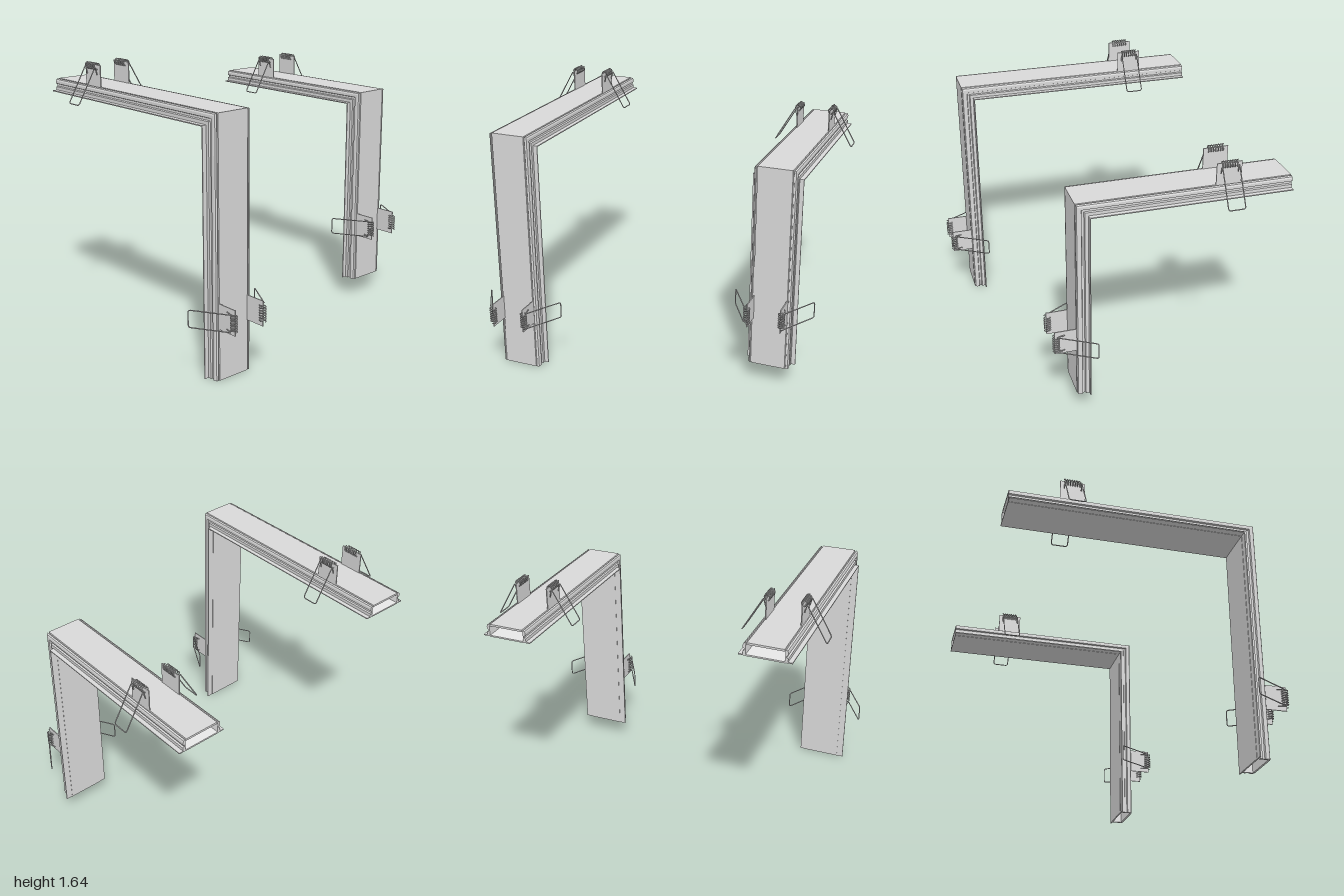
import * as THREE from 'three';

const aluminium = new THREE.MeshStandardMaterial({ color: 0xd9d9d9 });
aluminium.name = 'light aluminium grey';
const lining = new THREE.MeshStandardMaterial({ color: 0xe8e8e8 });
lining.name = 'pale lining';

// Cross-sections as [across, outward] points, mirrored about the middle
const mirror = (half) => [...half, ...half.slice().reverse().map(([w, d]) => [-w, d])];
const outerSection = mirror([
  [0.15, 0], [0.15, 0.006], [0.125, 0.007], [0.125, 0.026], [0.116, 0.03],
  [0.116, 0.042], [0.125, 0.046], [0.125, 0.062], [0.121, 0.071], [0.112, 0.076],
  [0.11, 0.07], [0.105, 0.07], [0.103, 0.077],
]);
const innerSection = outerSection.map(([w, d]) => [
  Math.sign(w) * Math.min(Math.abs(w) - 0.008, 0.108),
  Math.min(Math.max(d, 0.007), 0.065),
]);
const diffuserSection = mirror([[0.11, -0.002], [0.11, 0.001]]);

// Places a section point on the arm end, the mitred corner or the leg foot
function station(L, s, [w, d]) {
  return [s === 0 ? L.armEnd : L.x + d, s === 2 ? L.foot : L.y + d, w];
}

function quadsToGeometry(quads) {
  const pos = [];
  for (const [a, b, c, d] of quads) pos.push(...a, ...b, ...c, ...a, ...c, ...d);
  const g = new THREE.BufferGeometry();
  g.setAttribute('position', new THREE.Float32BufferAttribute(pos, 3));
  g.computeVertexNormals();
  return g;
}

// Skin swept along the bent path
function skin(L, section, inward = false) {
  const quads = [];
  for (let s = 0; s < 2; s++) {
    section.forEach((p, i) => {
      const q = section[(i + 1) % section.length];
      const quad = [station(L, s, p), station(L, s + 1, p), station(L, s + 1, q), station(L, s, q)];
      quads.push(inward ? quad.reverse() : quad);
    });
  }
  return quads;
}

// End faces between an outer and an inner section
function rims(L, outer, inner) {
  const quads = [];
  outer.forEach((p, i) => {
    const j = (i + 1) % outer.length;
    for (const s of [0, 2]) {
      const quad = [p, outer[j], inner[j], inner[i]].map((v) => station(L, s, v));
      quads.push(s === 0 ? quad : quad.reverse());
    }
  });
  return quads;
}

function addMesh(parent, name, geometry, material) {
  const m = new THREE.Mesh(geometry, material);
  m.name = name;
  parent.add(m);
  return m;
}

// Spring clip: x runs along the profile, y points outward, z sideways
const CLIP_W = 0.105, COIL_Y = 0.196, COIL_R = 0.018, WIRE = 0.0033;

function coilGeometry() {
  const turns = 7, pts = [];
  for (let i = 0; i <= turns * 12; i++) {
    const a = (i / 12) * Math.PI * 2;
    pts.push(new THREE.Vector3(-0.05 + (0.1 * i) / (turns * 12),
      COIL_Y + COIL_R * Math.cos(a), CLIP_W + COIL_R * Math.sin(a)));
  }
  return new THREE.TubeGeometry(new THREE.CatmullRomCurve3(pts), turns * 16, WIRE, 10);
}

function loopGeometry() {
  const top = new THREE.Vector3(0, COIL_Y - 0.004, CLIP_W + COIL_R);
  const end = new THREE.Vector3(0, -0.018, 0.244);
  const at = (x, t) => top.clone().lerp(end, t).setX(x);
  const path = new THREE.CurvePath();
  path.add(new THREE.LineCurve3(at(-0.05, 0), at(-0.05, 0.94)));
  path.add(new THREE.QuadraticBezierCurve3(at(-0.05, 0.94), at(-0.05, 1), at(-0.036, 1)));
  path.add(new THREE.LineCurve3(at(-0.036, 1), at(0.036, 1)));
  path.add(new THREE.QuadraticBezierCurve3(at(0.036, 1), at(0.05, 1), at(0.05, 0.94)));
  path.add(new THREE.LineCurve3(at(0.05, 0.94), at(0.05, 0)));
  return new THREE.TubeGeometry(path, 90, WIRE, 10);
}

// Short spring foot resting against the tab
function footGeometry(x) {
  return new THREE.TubeGeometry(new THREE.LineCurve3(
    new THREE.Vector3(x, COIL_Y - 0.008, CLIP_W + COIL_R - 0.002),
    new THREE.Vector3(x, COIL_Y - 0.05, CLIP_W + 0.005)), 1, WIRE, 10);
}

function makeClip() {
  const clip = new THREE.Group();
  clip.name = 'springClip';
  const tab = addMesh(clip, 'clipTab', new THREE.BoxGeometry(0.148, 0.147, 0.006), aluminium);
  tab.position.set(0, 0.1305, CLIP_W - 0.004);
  addMesh(clip, 'springCoil', coilGeometry(), aluminium);
  addMesh(clip, 'springLoop', loopGeometry(), aluminium);
  for (const x of [-0.05, 0.05]) addMesh(clip, 'springFoot', footGeometry(x), aluminium);
  return clip;
}

function makeProfile(name, L) {
  const g = new THREE.Group();
  g.name = name;
  g.position.z = L.z;
  addMesh(g, 'channel',
    quadsToGeometry([...skin(L, outerSection), ...rims(L, outerSection, innerSection)]), aluminium);
  addMesh(g, 'channelLining', quadsToGeometry(skin(L, innerSection, true)), lining);
  const middle = diffuserSection.map(() => [0, 0]);
  addMesh(g, 'diffuser',
    quadsToGeometry([...skin(L, diffuserSection), ...rims(L, diffuserSection, middle)]), aluminium);

  // A pair of clips on the arm and a pair on the leg
  const mounts = [
    ['armClips', L.armEnd + 0.376, L.y, 0],
    ['legClips', L.x, L.foot + 0.377, -Math.PI / 2],
  ];
  for (const [label, x, y, turn] of mounts) {
    const pair = new THREE.Group();
    pair.name = label;
    pair.position.set(x, y, 0);
    pair.rotation.z = turn;
    for (const side of [0, Math.PI]) {
      const clip = makeClip();
      clip.rotation.y = side;
      pair.add(clip);
    }
    g.add(pair);
  }
  return g;
}

export function createModel() {
  const model = new THREE.Group();
  model.name = 'cornerProfiles';
  model.add(makeProfile('frontProfile', { armEnd: -0.768, x: 0.65, y: 1.42, foot: 0, z: 0.75 }));
  model.add(makeProfile('backProfile', { armEnd: -0.87, x: 0.305, y: 1.3, foot: 0.122, z: -0.75 }));
  return model;
}
